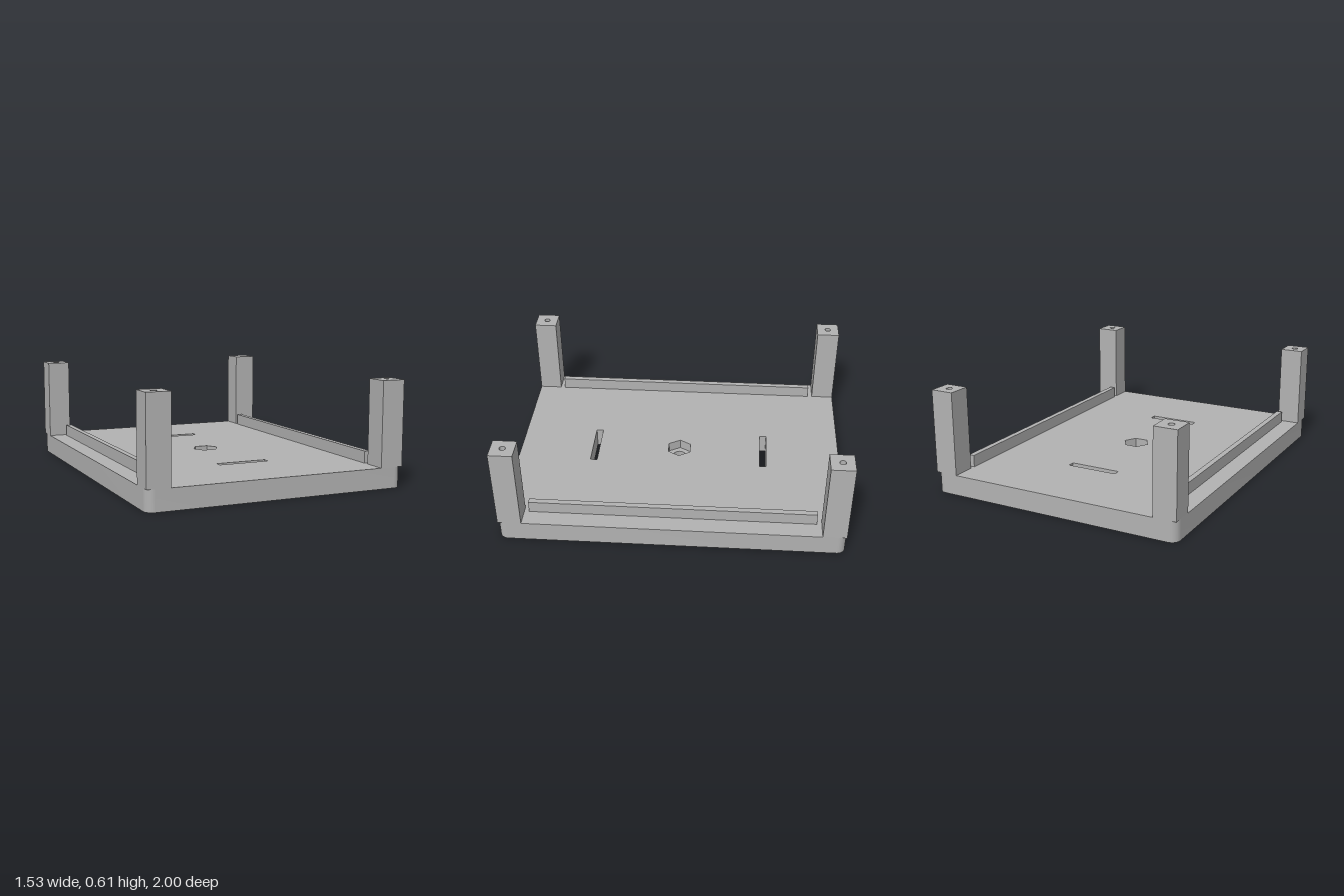
import * as THREE from 'three';
import { toCreasedNormals } from 'three/addons/utils/BufferGeometryUtils.js';

const HALF_X = 0.765, HALF_Z = 1, BASE_H = 0.12, POST = 0.137, POST_TOP = 0.61;

// Closed polygon path from [x, y] pairs
const polygon = (points, Type = THREE.Path) =>
  new Type(points.map(([x, y]) => new THREE.Vector2(x, y)));

const rect = (cx, cy, hx, hy, Type) => polygon(
  [[cx - hx, cy - hy], [cx + hx, cy - hy], [cx + hx, cy + hy], [cx - hx, cy + hy]], Type);

const circle = (r) => new THREE.Path().absarc(0, 0, r, 0, Math.PI * 2, true);

const hexagon = (r, Type) => polygon(
  Array.from({ length: 6 }, (_, i) => [r * Math.cos(i * Math.PI / 3), r * Math.sin(i * Math.PI / 3)]), Type);

function roundedRect(hx, hy, r) {
  const s = new THREE.Shape();
  s.absarc(hx - r, hy - r, r, 0, Math.PI / 2);
  s.absarc(-hx + r, hy - r, r, Math.PI / 2, Math.PI);
  s.absarc(-hx + r, -hy + r, r, Math.PI, Math.PI * 1.5);
  s.absarc(hx - r, -hy + r, r, Math.PI * 1.5, Math.PI * 2);
  s.closePath();
  return s;
}

// Extrude a plan shape upwards from y = 0, keeping hard edges crisp
function extrudeUp(shape, height, holes = []) {
  shape.holes.push(...holes);
  const geo = new THREE.ExtrudeGeometry(shape, { depth: height, bevelEnabled: false, curveSegments: 12 });
  return toCreasedNormals(geo.rotateX(-Math.PI / 2), 0.7);
}

export function createModel() {
  const model = new THREE.Group();
  model.name = 'tray';
  const grey = new THREE.MeshStandardMaterial({ color: 0xb2b2b2 });
  grey.name = 'grey';

  const add = (name, geo, x = 0, y = 0, z = 0) => {
    const mesh = new THREE.Mesh(geo, grey);
    mesh.name = name;
    mesh.position.set(x, y, z);
    model.add(mesh);
  };

  // Base plate with two strap slots and a hexagonal nut recess
  add('basePlate', extrudeUp(roundedRect(HALF_X, HALF_Z, 0.05), BASE_H, [
    rect(0, 0.527, 0.153, 0.021), rect(0, -0.527, 0.153, 0.021), hexagon(0.079),
  ]));

  // Floor of the recess with the bolt hole
  add('recessFloor', extrudeUp(hexagon(0.079, THREE.Shape), 0.06, [circle(0.04)]));

  // Corner posts with screw holes, and side rails
  const postGeo = extrudeUp(rect(0, 0, POST / 2, POST / 2, THREE.Shape), POST_TOP - BASE_H, [circle(0.018)]);
  const railGeo = new THREE.BoxGeometry(0.034, 0.07, 1.67);
  for (const sx of [-1, 1]) {
    const side = sx > 0 ? 'left' : 'right';
    for (const sz of [-1, 1]) {
      add(`${side}${sz > 0 ? 'Front' : 'Back'}Post`, postGeo,
        sx * (HALF_X - POST / 2), BASE_H, sz * (HALF_Z - POST / 2));
    }
    add(`${side}Rail`, railGeo, sx * 0.643, BASE_H + 0.035, 0);
  }
  return model;
}
